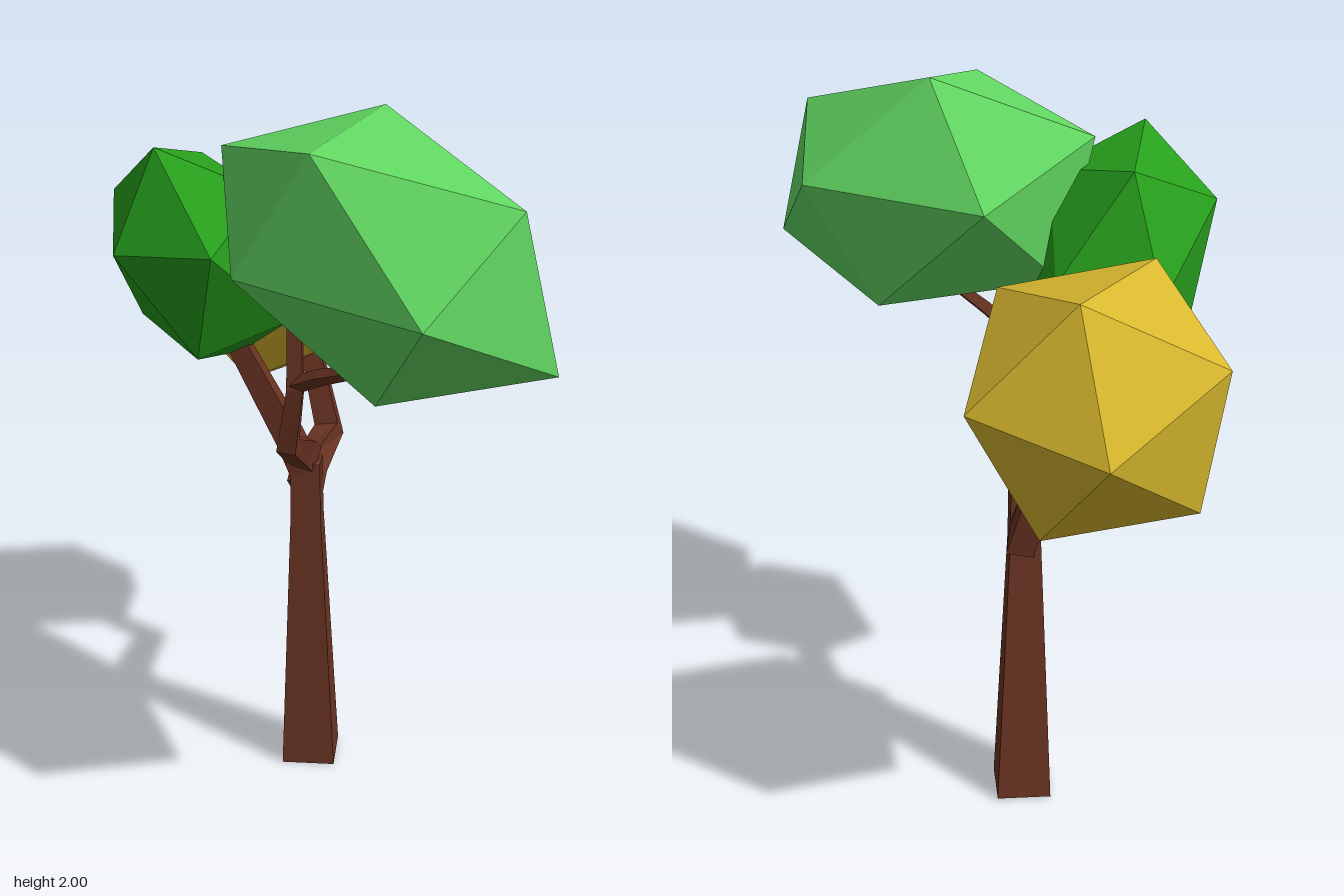
import * as THREE from 'three';
import { ConvexGeometry } from 'three/addons/geometries/ConvexGeometry.js';

const material = (color) => new THREE.MeshStandardMaterial({ color, flatShading: true });

// Four-sided tapered limb through nodes of [x, y, z, radius], capped at both ends
function limbGeometry(nodes) {
  const pts = nodes.map(([x, y, z]) => new THREE.Vector3(x, y, z));
  const ref = new THREE.Vector3(0, 0, 1);
  const rings = pts.map((p, i) => {
    const t = new THREE.Vector3();
    if (i > 0) t.add(p.clone().sub(pts[i - 1]).normalize());
    if (i < pts.length - 1) t.add(pts[i + 1].clone().sub(p).normalize());
    t.normalize();
    const u = ref.clone().cross(t).normalize();
    const v = t.clone().cross(u);
    const r = nodes[i][3];
    return [[1, 0], [0, 1], [-1, 0], [0, -1]].map(([a, b]) =>
      p.clone().addScaledVector(u, a * r).addScaledVector(v, b * r));
  });
  const corners = [];
  const quad = (a, b, c, d) => corners.push(a, b, c, a, c, d);
  for (let i = 0; i < rings.length - 1; i++) {
    for (let k = 0; k < 4; k++) {
      const n = (k + 1) % 4;
      quad(rings[i][k], rings[i][n], rings[i + 1][n], rings[i + 1][k]);
    }
  }
  const [s0, s1, s2, s3] = rings[0];
  quad(s3, s2, s1, s0);
  quad(...rings[rings.length - 1]);
  const geometry = new THREE.BufferGeometry().setFromPoints(corners);
  geometry.computeVertexNormals();
  return geometry;
}

// Stretched twenty-sided crown: six corners, each mirrored through the centre
function crownGeometry(center, corners) {
  const c = new THREE.Vector3(...center);
  const points = corners.flatMap((corner) => {
    const p = new THREE.Vector3(...corner);
    return [p, c.clone().multiplyScalar(2).sub(p)];
  });
  return new ConvexGeometry(points);
}

export function createModel() {
  const tree = new THREE.Group();
  tree.name = 'tree';
  const add = (name, geometry, mat) => {
    const mesh = new THREE.Mesh(geometry, mat);
    mesh.name = name;
    tree.add(mesh);
  };

  // Trunk and branches
  const bark = material(0x6b3423);
  const limbs = {
    trunk: [[-0.148, 0.004, -0.022, 0.108], [-0.13, 0.8, 0, 0.06], [-0.13, 0.96, 0, 0.058]],
    rightBranch: [[-0.14, 0.87, 0, 0.055], [-0.19, 0.91, -0.06, 0.052],
      [-0.31, 0.945, -0.23, 0.05], [-0.38, 1.2, -0.215, 0.04]],
    middleBranch: [[-0.13, 0.92, 0, 0.055], [-0.145, 1.03, 0.045, 0.05], [-0.22, 1.38, 0.2, 0.036]],
    leftBranch: [[-0.14, 0.96, 0, 0.055], [-0.1, 1.01, 0.05, 0.052], [0.06, 1.11, 0.215, 0.036],
      [0.1, 1.28, 0.22, 0.03], [0.1, 1.47, 0.22, 0.025]],
    leftTwig: [[0.1, 1.29, 0.22, 0.024], [0.2, 1.335, 0.22, 0.022], [0.38, 1.4, 0.22, 0.016]],
  };
  for (const [name, nodes] of Object.entries(limbs)) add(name, limbGeometry(nodes), bark);

  // Foliage crowns
  add('yellowCrown', crownGeometry([-0.53, 1.4, -0.22], [
    [-0.6, 1.7, -0.39], [-0.54, 1.7, -0.02], [-0.26, 1.63, -0.27],
    [-0.855, 1.54, -0.16], [-0.66, 1.37, 0.11], [-0.77, 1.38, -0.49],
  ]), material(0xd8b82e));
  add('darkGreenCrown', crownGeometry([-0.205, 1.58, 0.29], [
    [-0.16, 1.885, 0.45], [-0.21, 1.62, 0.55], [-0.31, 1.82, 0.2],
    [-0.43, 1.73, 0.4], [0.04, 1.64, 0.43], [-0.015, 1.77, 0.23],
  ]), material(0x27a01c));
  add('lightGreenCrown', crownGeometry([0.355, 1.67, 0.16], [
    [0.25, 2.0, 0.055], [0.39, 1.945, 0.405], [0.805, 1.85, 0.14],
    [0.85, 1.47, 0.06], [0.77, 1.62, 0.405], [0.19, 1.63, 0.48],
  ]), material(0x62d862));

  return tree;
}
